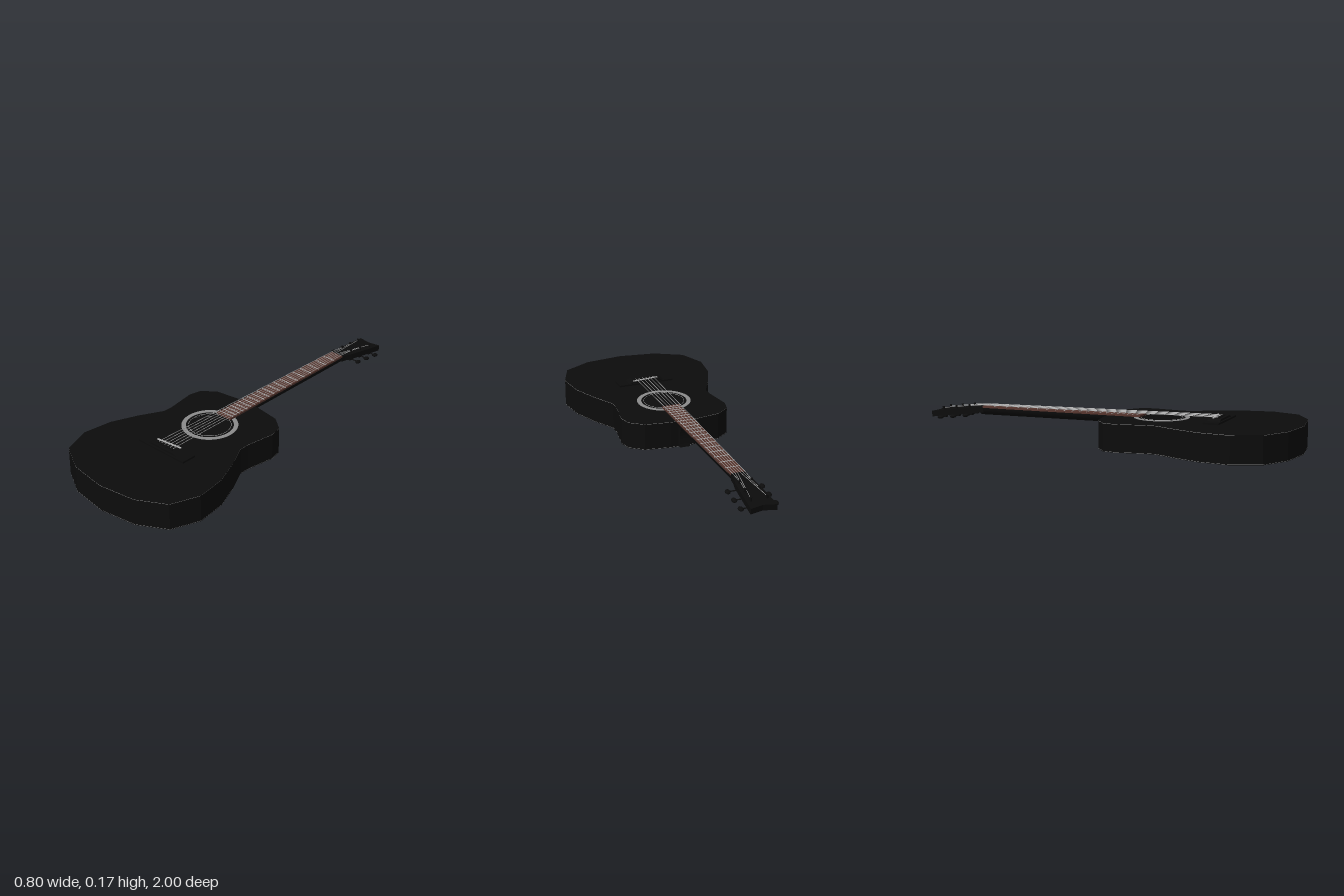
import * as THREE from 'three';

const mat = (name, color, side = THREE.FrontSide) => {
  const m = new THREE.MeshStandardMaterial({ color, side });
  m.name = name;
  return m;
};

export function createModel() {
  const black = mat('black lacquer', 0x0c0c0c);
  const wood = mat('rosewood', 0x57362f);
  const silver = mat('silver', 0xb4b4b4);
  const grey = mat('rosette grey', 0x8c8c8c);
  const guitar = new THREE.Group();
  guitar.name = 'guitar';

  const add = (name, geometry, material, parent = guitar) => {
    const m = new THREE.Mesh(geometry, material);
    m.name = name;
    parent.add(m);
    return m;
  };
  const vec = (x, y, z) => new THREE.Vector3(x, y, z);
  const shapeOf = pts => new THREE.Shape(pts.map(p => new THREE.Vector2(...p)));
  // Mirrors a half outline running from the centre line round to the centre line
  const mirrored = half => [...half, ...half.filter(p => p[0] > 0).reverse().map(([x, z]) => [-x, z])];
  const circle = (r, z) => new THREE.Path().absarc(0, z, r, 0, Math.PI * 2, true);

  // Horizontal slab: shape is drawn in x and z, from height y0 up to y1
  const slab = (shape, y0, y1, curveSegments = 20) =>
    new THREE.ExtrudeGeometry(shape, { depth: y1 - y0, bevelEnabled: false, curveSegments })
      .rotateX(Math.PI / 2).translate(0, y1, 0);

  // Thin round bar between two points
  const rod = (name, a, b, r, material, parent, sides = 5) => {
    const d = b.clone().sub(a);
    const m = add(name, new THREE.CylinderGeometry(r, r, d.length(), sides), material, parent);
    m.position.copy(a).add(b).multiplyScalar(0.5);
    m.quaternion.setFromUnitVectors(vec(0, 1, 0), d.normalize());
    return m;
  };

  // Hollow body: back, sides, bindings and a top with a sound hole
  const outline = mirrored([[0, -0.01], [0.07, -0.008], [0.2, 0.012], [0.27, 0.065], [0.285, 0.13],
    [0.262, 0.28], [0.262, 0.335], [0.325, 0.455], [0.38, 0.59], [0.4, 0.745], [0.345, 0.89],
    [0.2, 0.972], [0, 1]]);
  const inner = outline.map(([x, z]) => [x * 0.96, 0.48 + (z - 0.48) * 0.97]);
  const rim = () => {
    const s = shapeOf(outline);
    s.holes.push(shapeOf(inner));
    return s;
  };
  const holeZ = 0.275;
  const top = shapeOf(outline);
  top.holes.push(circle(0.103, holeZ));
  add('back', slab(shapeOf(outline), 0, 0.002), black);
  add('lowerBinding', slab(rim(), 0.002, 0.0035), grey);
  add('sides', slab(rim(), 0.0035, 0.139), black);
  add('upperBinding', slab(rim(), 0.139, 0.141), grey);
  add('top', slab(top, 0.141, 0.143), black);

  // Rings round the sound hole
  const ring = (name, r0, r1, material) => {
    const s = new THREE.Shape().absarc(0, holeZ, r1, 0, Math.PI * 2, false);
    s.holes.push(circle(r0, holeZ));
    add(name, slab(s, 0.143, 0.1445), material);
  };
  ring('rosette', 0.119, 0.141, grey);
  ring('soundHoleRing', 0.105, 0.1065, silver);

  // Neck and fretboard, both narrowing towards the nut
  const nutZ = -0.71, boardEnd = 0.176;
  const halfWidth = z => 0.037 + 0.009 * (z - nutZ) / (boardEnd - nutZ);
  const taper = geometry => {
    const p = geometry.attributes.position;
    for (let i = 0; i < p.count; i++) p.setX(i, p.getX(i) * halfWidth(p.getZ(i)));
    geometry.computeVertexNormals();
    return geometry;
  };
  const neckShape = new THREE.Shape().absellipse(0, 0.146, 1, 0.041, Math.PI, Math.PI * 2, false);
  add('neck', taper(new THREE.ExtrudeGeometry(neckShape,
    { depth: 0.72, bevelEnabled: false, curveSegments: 12 }).translate(0, 0, nutZ - 0.02)), black);
  add('fretboard', taper(new THREE.BoxGeometry(2, 0.01, boardEnd - nutZ)
    .translate(0, 0.149, (boardEnd + nutZ) / 2)), wood);
  add('nut', new THREE.BoxGeometry(0.074, 0.014, 0.01).translate(0, 0.15, nutZ - 0.004), black);

  // Heel with a curved back edge
  const heel = new THREE.Shape();
  heel.moveTo(0.01, 0.005);
  heel.lineTo(-0.035, 0.005);
  heel.quadraticCurveTo(-0.018, 0.07, -0.045, 0.118);
  heel.lineTo(0.01, 0.13);
  add('heel', new THREE.ExtrudeGeometry(heel, { depth: 0.054, bevelEnabled: false, curveSegments: 8 })
    .rotateY(-Math.PI / 2).translate(0.027, 0, 0), black);

  // Frets at equal-tempered spacing
  const scale = 1.265;
  for (let i = 1; i <= 20; i++) {
    const z = nutZ + scale * (1 - 2 ** (-i / 12));
    add('fret', new THREE.BoxGeometry(halfWidth(z) * 2, 0.003, 0.0035).translate(0, 0.1545, z), silver);
  }

  // Bridge: flat base, raised middle, slanted saddle
  add('bridgeBase', new THREE.BoxGeometry(0.303, 0.009, 0.08).translate(0.003, 0.1475, 0.575), black);
  const raised = shapeOf([[-0.095, 0.152], [0.1, 0.152], [0.073, 0.162], [-0.07, 0.162]]);
  add('bridgeMiddle', new THREE.ExtrudeGeometry(raised, { depth: 0.065, bevelEnabled: false })
    .translate(0, 0, 0.54), black);
  const saddle = add('saddle', new THREE.BoxGeometry(0.145, 0.006, 0.008), silver);
  saddle.position.set(0.002, 0.1625, 0.555);
  saddle.rotation.y = 0.12;

  // Headstock tilted back, with a notched end
  const head = new THREE.Group();
  head.name = 'headstock';
  head.position.set(0, 0.15, nutZ);
  head.rotation.x = -0.115;
  guitar.add(head);
  add('headPlate', slab(shapeOf(mirrored([[0, -0.277], [0.065, -0.291], [0.058, -0.2], [0.047, -0.07],
    [0.038, -0.03], [0.036, 0], [0, 0]])), -0.03, 0), black, head);

  // Strings with their bridge pins, posts and tuning keys
  for (let i = 0; i < 6; i++) {
    const t = i - 2.5, side = Math.sign(t), row = 2.5 - Math.abs(t);
    const bx = 0.002 + t * 0.0195, nx = t * 0.0125;
    const postX = side * (0.03 + row * 0.005), postZ = -0.08 - row * 0.075;
    rod('string', vec(bx, 0.166, 0.56), vec(nx, 0.158, nutZ), 0.0014, silver, guitar);
    rod('stringEnd', vec(bx, 0.166, 0.56), vec(bx, 0.163, 0.583), 0.0014, silver, guitar);
    rod('headString', vec(nx, 0.008, 0), vec(postX, 0.011, postZ), 0.0014, silver, head);
    const pin = add('bridgePin', new THREE.SphereGeometry(0.0065, 10, 8), black);
    pin.position.set(bx, 0.164, 0.585);
    rod('tunerPost', vec(postX, -0.002, postZ), vec(postX, 0.018, postZ), 0.006, black, head, 10);
    rod('tunerShaft', vec(postX, -0.034, postZ), vec(side * 0.082, -0.034, postZ), 0.003, black, head, 8);
    add('tunerHousing', new THREE.BoxGeometry(0.022, 0.012, 0.026)
      .translate(postX, -0.034, postZ), black, head);
    const key = add('tunerKey', new THREE.SphereGeometry(1, 12, 8), black, head);
    key.scale.set(0.013, 0.009, 0.018);
    key.position.set(side * 0.086, -0.034, postZ);
  }
  return guitar;
}
